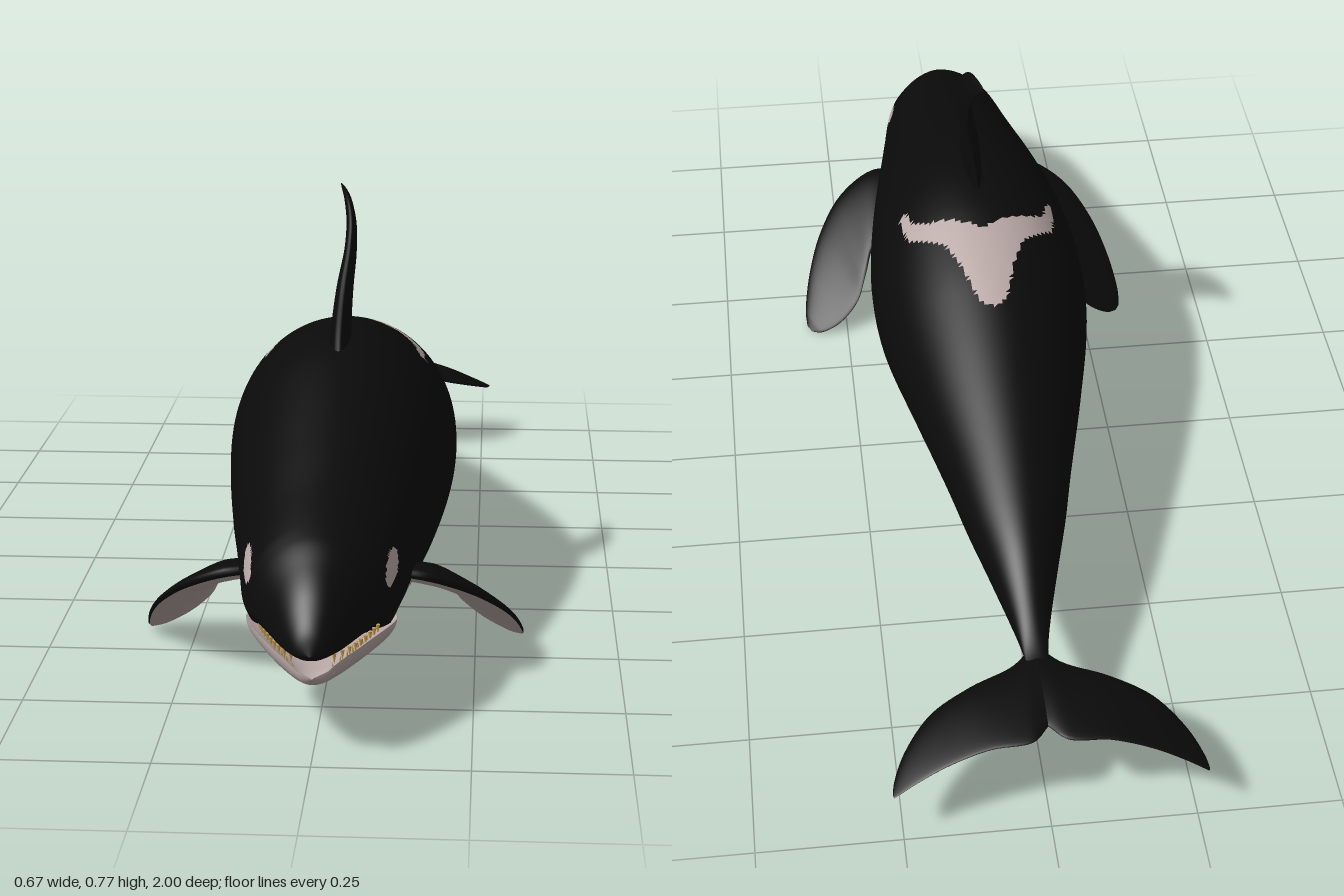
import * as THREE from 'three';

const flat = (name, color) => {
  const m = new THREE.MeshStandardMaterial({ color });
  m.name = name;
  return m;
};

// Piecewise curve through [position, value] pairs: straight or smooth
function curve(pts, smooth = true) {
  const p = [...pts].sort((a, b) => a[0] - b[0]);
  const slope = i => {
    const a = p[Math.max(i - 1, 0)], b = p[Math.min(i + 1, p.length - 1)];
    return (b[1] - a[1]) / (b[0] - a[0]);
  };
  return v => {
    if (v <= p[0][0]) return p[0][1];
    if (v >= p[p.length - 1][0]) return p[p.length - 1][1];
    let i = 0;
    while (v > p[i + 1][0]) i++;
    const h = p[i + 1][0] - p[i][0], t = (v - p[i][0]) / h;
    if (!smooth) return p[i][1] + (p[i + 1][1] - p[i][1]) * t;
    const t2 = t * t, t3 = t2 * t;
    return (2 * t3 - 3 * t2 + 1) * p[i][1] + (t3 - 2 * t2 + t) * h * slope(i)
      + (3 * t2 - 2 * t3) * p[i + 1][1] + (t3 - t2) * h * slope(i + 1);
  };
}

// Skin closed rings of points; paint(centre, angle) picks the material of each face
function skin(name, rings, mats, paint, flip = false) {
  const n = rings[0].length, groups = mats.map(() => []);
  const tri = (a, b, c, ang) => {
    const mid = new THREE.Vector3();
    for (const k of [a, b, c]) mid.addScaledVector(rings[Math.floor(k / n)][k % n], 1 / 3);
    groups[paint(mid, ang)].push(...(flip ? [a, c, b] : [a, b, c]));
  };
  for (let i = 0; i < rings.length - 1; i++) for (let j = 0; j < n; j++) {
    const k = (j + 1) % n, ang = (j + 0.5) / n * Math.PI * 2;
    const a = i * n + j, b = a + n, c = i * n + k, d = c + n;
    tri(a, b, c, ang);
    tri(c, b, d, ang);
  }
  const g = new THREE.BufferGeometry().setFromPoints(rings.flat());
  g.setIndex(groups.flat());
  let start = 0;
  groups.forEach((ix, m) => { g.addGroup(start, ix.length, m); start += ix.length; });
  g.computeVertexNormals();
  const mesh = new THREE.Mesh(g, mats);
  mesh.name = name;
  return mesh;
}

// Rings across z, from the front backwards
function zRings(front, back, rows, sides, section, ease = 1) {
  return Array.from({ length: rows + 1 }, (_, i) => {
    const z = front + (back - front) * Math.pow(i / rows, ease);
    return Array.from({ length: sides }, (_, j) => {
      const a = j / sides * Math.PI * 2, [x, y] = section(z, Math.cos(a), Math.sin(a));
      return new THREE.Vector3(x, y, z);
    });
  });
}

// Fin from stations [leading point, trailing point, half thickness]; up = its upper side
function fin(name, stations, up, side, mats, paint) {
  const V = p => new THREE.Vector3(p[0] * side, p[1], p[2]);
  const lead = new THREE.CatmullRomCurve3(stations.map(s => V(s[0])));
  const trail = new THREE.CatmullRomCurve3(stations.map(s => V(s[1])));
  const last = stations.length - 1;
  const thick = curve(stations.map((s, i) => [i / last, s[2]]), false);
  const mid = t => lead.getPoint(t).add(trail.getPoint(t)).multiplyScalar(0.5);
  const rows = 36, sides = 32, rings = [];
  let flip = false;
  for (let i = 0; i <= rows; i++) {
    const t = i / rows, c = mid(t);
    const chord = lead.getPoint(t).sub(trail.getPoint(t)).multiplyScalar(0.5);
    const span = mid(Math.min(t + 0.02, 1)).sub(mid(Math.max(t - 0.02, 0)));
    const n = new THREE.Vector3().crossVectors(chord, span).normalize();
    if (n.dot(V(up)) < 0) n.negate();
    if (i === 4) flip = new THREE.Vector3().crossVectors(n, chord).dot(span) < 0;
    rings.push(Array.from({ length: sides }, (_, j) => {
      const a = j / sides * Math.PI * 2;
      return c.clone().addScaledVector(chord, Math.cos(a))
        .addScaledVector(n, thick(t) * Math.sin(a) * (0.8 + 0.2 * Math.cos(a)));
    }));
  }
  return skin(name, rings, mats, paint, flip);
}

export function createModel() {
  const root = new THREE.Group();
  root.name = 'whale';
  const black = flat('black skin', 0x0a0a0a), white = flat('white skin', 0xb9a9a7);
  const ivory = flat('ivory teeth', 0xc8a050);
  const coat = [black, white];

  // Body outline along z: back, belly, half width and height of the widest line
  const top = curve([[1, .185], [.99, .215], [.97, .243], [.94, .274], [.9, .302], [.85, .33], [.7, .38],
    [.6, .415], [.4, .483], [.3, .51], [.2, .522], [.1, .517], [0, .497], [-.1, .47], [-.3, .403],
    [-.5, .33], [-.6, .288], [-.7, .232], [-.78, .192], [-.86, .186], [-.88, .178]]);
  const bottom = curve([[1, .185], [.99, .175], [.95, .17], [.9, .168], [.79, .163], [.77, .101], [.7, .092],
    [.6, .08], [.4, .05], [.25, .04], [.1, .05], [0, .071], [-.1, .1], [-.2, .125], [-.3, .138],
    [-.5, .141], [-.7, .155], [-.78, .165], [-.86, .17], [-.88, .178]], false);
  const width = curve([[1, .002], [.99, .024], [.97, .042], [.94, .06], [.9, .081], [.85, .108], [.82, .121],
    [.7, .14], [.6, .155], [.5, .171], [.3, .197], [.15, .208], [0, .2], [-.2, .16], [-.4, .112],
    [-.5, .089], [-.6, .062], [-.7, .036], [-.77, .022], [-.86, .014], [-.88, .001]]);
  const waist = curve([[1, .185], [.9, .2], [.7, .225], [.4, .26], [.15, .28], [-.2, .27], [-.5, .235],
    [-.7, .195], [-.88, .178]]);

  // Markings: belly edge, saddle behind the dorsal fin, and eye patches
  const belly = curve([[.765, -1], [.76, .13], [.74, .11], [.7, .11], [.675, .19], [.64, .195], [.6, .16],
    [.54, .12], [.45, .085], [.35, .09], [.25, .125], [.15, .15], [.07, .172], [.04, .18], [.03, .12],
    [-.05, .12], [-.15, .138], [-.3, .15], [-.45, .148], [-.56, .12]], false);
  const saddleBack = curve([[0, -.15], [.025, -.135], [.05, -.05], [.075, .01], [.11, .04], [.14, .07],
    [.15, .14]], false);
  const saddleFront = curve([[0, .03], [.05, .06], [.1, .08], [.125, .1], [.14, .16], [.15, .14]], false);
  const paintBody = p => {
    const x = Math.abs(p.x);
    const u = (p.z - .79) / .045, v = (p.y - .264 + (p.z - .79) * .3) / .017;
    const saddle = p.y > .4 && x < .15 && p.z > saddleBack(x) && p.z < saddleFront(x);
    return p.y < belly(p.z) || saddle || u * u + v * v < 1 ? 1 : 0;
  };
  root.add(skin('body', zRings(1, -.88, 250, 128, (z, c, s) => {
    const m = waist(z);
    return [width(z) * c, m + s * (s > 0 ? top(z) - m : m - bottom(z))];
  }, 1.25), coat, paintBody));

  // Lower jaw with a hollowed top
  const jawWidth = curve([[.967, .002], [.96, .024], [.945, .042], [.9, .073], [.82, .108], [.75, .124], [.68, .11]]);
  const jawRim = curve([[.967, .138], [.95, .156], [.9, .167], [.82, .168], [.68, .155]]);
  const jawLow = curve([[.967, .136], [.96, .125], [.94, .118], [.9, .113], [.82, .106], [.75, .1], [.68, .1]]);
  const jawDip = curve([[.967, .001], [.95, .016], [.9, .028], [.75, .03]]);
  root.add(skin('lowerJaw', zRings(.967, .68, 40, 64, (z, c, s) => {
    const rim = jawRim(z);
    return [jawWidth(z) * c, rim + s * (s > 0 ? -jawDip(z) * s : rim - jawLow(z))];
  }), [white], () => 0));

  // Teeth in both jaws
  const teeth = new THREE.Group();
  teeth.name = 'teeth';
  const cone = new THREE.ConeGeometry(.004, .018, 6);
  for (const side of [-1, 1]) for (let i = 0; i < 9; i++) {
    const z = .948 - i * .017;
    for (const upper of [true, false]) {
      const tooth = new THREE.Mesh(cone, ivory);
      tooth.name = upper ? 'upperTooth' : 'lowerTooth';
      const x = jawWidth(z) * (upper ? .86 : .8);
      tooth.position.set(side * x, upper ? .164 : jawRim(z) - .008, z);
      if (upper) tooth.rotation.x = Math.PI;
      teeth.add(tooth);
    }
  }
  root.add(teeth);

  // Dorsal fin, swept back with a slight lean
  root.add(fin('dorsalFin', [
    [[0, .46, .345], [0, .46, .11], .024], [[0, .53, .31], [0, .53, .135], .022],
    [[.006, .61, .28], [.006, .59, .15], .018], [[.015, .68, .25], [.015, .65, .15], .013],
    [[.016, .725, .22], [.014, .695, .143], .011], [[.008, .757, .18], [.006, .735, .122], .008],
    [[-.004, .769, .125], [-.003, .757, .106], .004], [[-.009, .77, .1], [-.009, .767, .095], .001],
  ], [1, 0, 0], 1, [black], () => 0));

  // Flippers and tail flukes, dark above and pale beneath
  const underside = (p, a) => (Math.sin(a) < 0 && Math.cos(a) < .9 ? 1 : 0);
  for (const side of [1, -1]) {
    const label = side > 0 ? 'left' : 'right';
    root.add(fin(label + 'Flipper', [
      [[.12, .21, .66], [.13, .16, .48], .02], [[.17, .205, .665], [.18, .15, .47], .022],
      [[.24, .172, .63], [.205, .11, .42], .018], [[.29, .125, .565], [.225, .07, .385], .014],
      [[.32, .075, .49], [.265, .03, .365], .01], [[.335, .025, .42], [.305, .008, .365], .006],
      [[.334, .008, .39], [.325, .004, .375], .001],
    ], [1, 1, -.5], side, coat, underside));
    root.add(fin(label + 'Fluke', [
      [[0, .178, -.74], [0, .18, -.935], .015], [[.04, .178, -.79], [.03, .183, -.97], .013],
      [[.12, .17, -.825], [.1, .176, -.972], .011], [[.19, .15, -.86], [.17, .155, -.98], .009],
      [[.24, .128, -.92], [.225, .13, -.99], .006], [[.262, .113, -.97], [.255, .115, -.998], .003],
      [[.266, .11, -.995], [.264, .11, -1], .001],
    ], [0, 1, 0], side, coat, underside));
  }
  return root;
}
